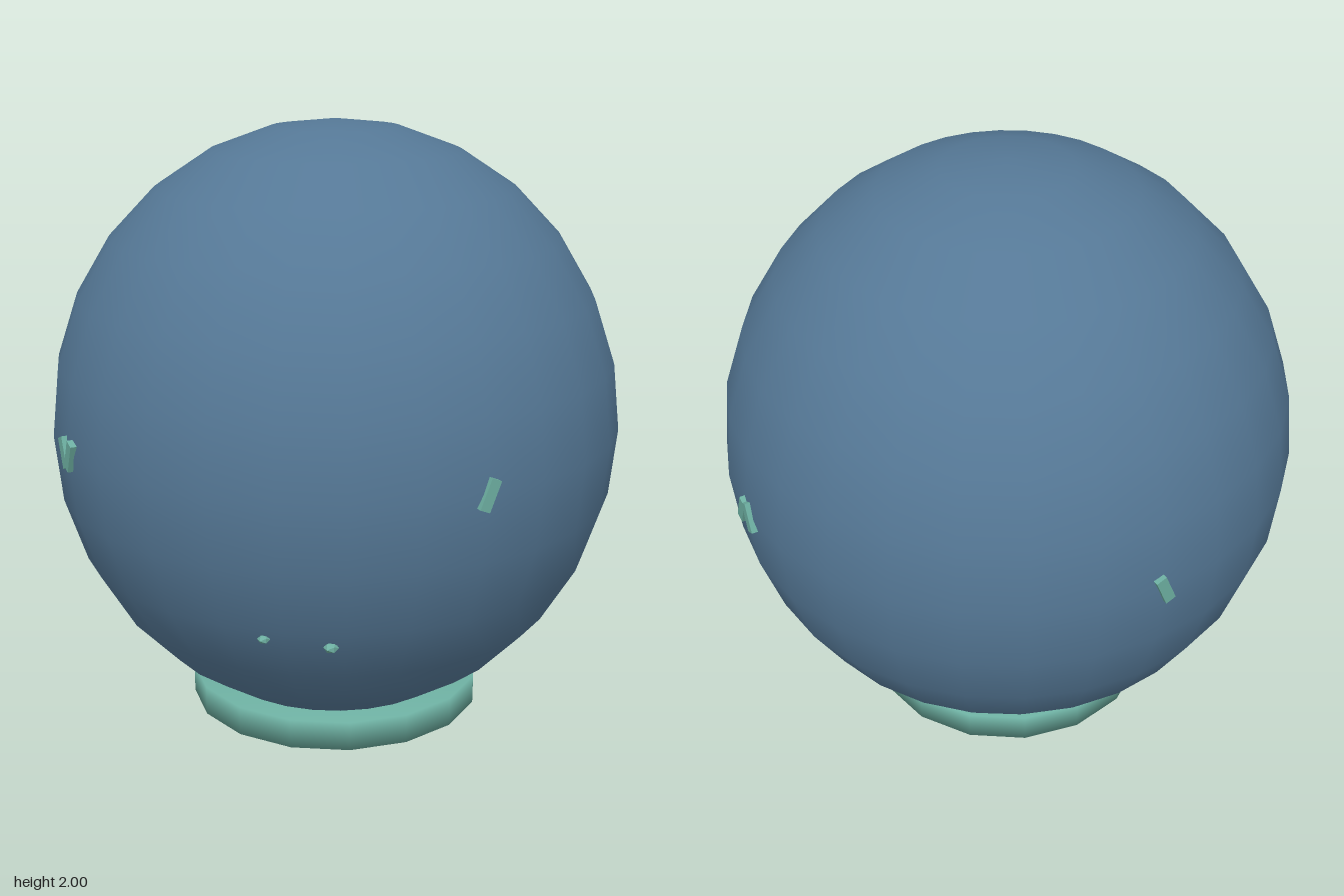
import * as THREE from 'three';
import { mergeVertices } from 'three/addons/utils/BufferGeometryUtils.js';

export function createModel() {
  const model = new THREE.Group();
  const blue = new THREE.MeshStandardMaterial({ name: 'steel blue', color: 0x557896 });
  const teal = new THREE.MeshStandardMaterial({ name: 'soft teal', color: 0x6dafa1 });

  const add = (parent, name, geometry, material) => {
    const mesh = new THREE.Mesh(geometry, material);
    mesh.name = name;
    parent.add(mesh);
    return mesh;
  };

  // Globe, slightly taller than wide
  const ball = new THREE.SphereGeometry(1, 28, 14).scale(0.95, 1, 0.95).translate(0, 1, 0);
  add(model, 'globe', ball, blue);

  // Low round stand with softly shaded rim
  let disc = new THREE.CylinderGeometry(0.5, 0.5, 0.098, 16).translate(0, 0.049, 0);
  disc.deleteAttribute('normal');
  disc.deleteAttribute('uv');
  disc = mergeVertices(disc);
  disc.computeVertexNormals();
  add(model, 'stand', disc, teal);

  // Raised marks at the four sides: each bar is [x, tilt]
  const marks = [
    { name: 'frontMark', turn: 0, bars: [[0, -0.4]] },
    { name: 'backMark', turn: Math.PI, bars: [[0, 0.4]] },
    { name: 'leftMark', turn: Math.PI / 2, bars: [[-0.024, -0.4], [0.024, 0.4]] },
    { name: 'rightMark', turn: -Math.PI / 2, bars: [[-0.024, 0.4], [0.024, -0.4]] },
  ];
  for (const { name, turn, bars } of marks) {
    const group = new THREE.Group();
    group.name = name;
    group.rotation.y = turn;
    for (const [x, tilt] of bars) {
      const bar = add(group, 'bar', new THREE.BoxGeometry(0.036, 0.1, 0.05), teal);
      bar.position.set(x, 1, 0.935);
      bar.rotation.z = tilt;
    }
    model.add(group);
  }

  // Small faceted bumps low on the globe
  const bumps = [[-0.57, 0.535, 0.615, 0.02], [-0.4, 0.515, 0.725, 0.024], [-0.61, 0.415, -0.465, 0.032]];
  for (const [x, y, z, size] of bumps) {
    const bump = add(model, 'bump', new THREE.IcosahedronGeometry(size, 0), teal);
    bump.position.set(x, y, z);
    bump.scale.y = 0.7;
  }
  return model;
}
